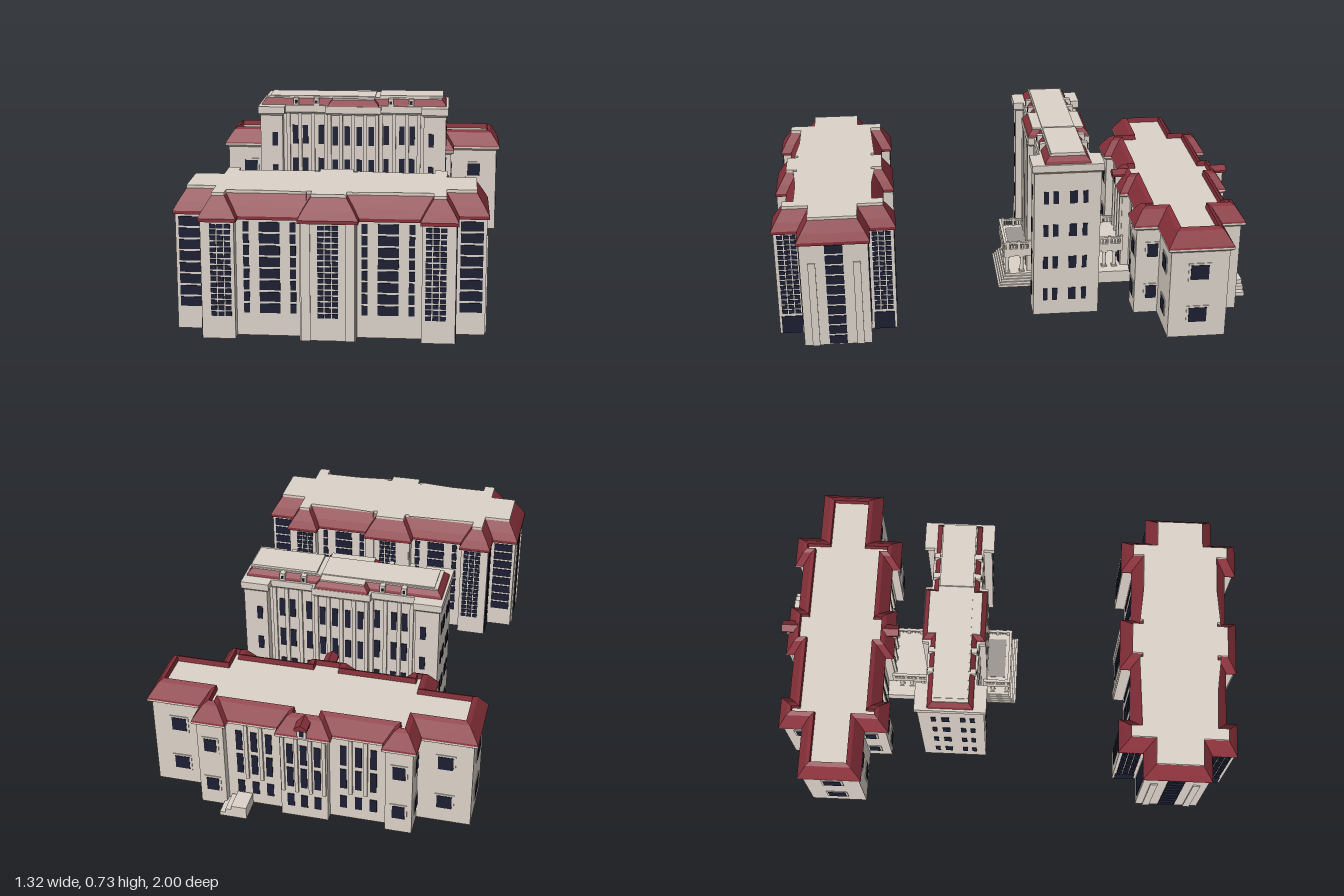
import * as THREE from 'three';
import { mergeGeometries } from 'three/addons/utils/BufferGeometryUtils.js';

const mat = (color) => new THREE.MeshStandardMaterial({ color, flatShading: true });
const stone = mat(0xdcd3c9), red = mat(0x88303a), glass = mat(0x1c1f33), lead = mat(0x9b9690);

// full stepped outline from the points of its +x +z quarter
function outline(q) {
  const rev = [...q].reverse();
  return [...q, ...rev.map(([x, z]) => [-x, z]), ...q.map(([x, z]) => [-x, -z]), ...rev.map(([x, z]) => [x, -z])];
}

// move every edge of a right-angled outline inwards by d
function inset(poly, d) {
  const n = poly.length;
  const normal = (i) => {
    const a = poly[i], b = poly[(i + 1) % n];
    return [Math.sign(b[1] - a[1]), -Math.sign(b[0] - a[0])];
  };
  return poly.map(([x, z], i) => {
    const u = normal((i + n - 1) % n), v = normal(i);
    return [x - d * (u[0] + v[0]), z - d * (u[1] + v[1])];
  });
}

// solid through rings of [inset, height], closed at both ends
function loft(poly, rings) {
  const pos = [], n = poly.length;
  const loops = rings.map(([d, y]) => inset(poly, d).map(([x, z]) => [x, y, z]));
  for (let k = 0; k + 1 < loops.length; k++) {
    for (let i = 0; i < n; i++) {
      const j = (i + 1) % n, a = loops[k], b = loops[k + 1];
      pos.push(...a[i], ...b[i], ...a[j], ...a[j], ...b[i], ...b[j]);
    }
  }
  const cap = (loop, up) => {
    const tris = THREE.ShapeUtils.triangulateShape(loop.map((p) => new THREE.Vector2(p[0], p[2])), []);
    for (const [a, b, c] of tris) pos.push(...loop[a], ...loop[up ? c : b], ...loop[up ? b : c]);
  };
  cap(loops[0], false);
  cap(loops[loops.length - 1], true);
  const g = new THREE.BufferGeometry();
  g.setAttribute('position', new THREE.Float32BufferAttribute(pos, 3));
  g.computeVertexNormals();
  return g;
}

function box(x, y, z, w, h, d) {
  return new THREE.BoxGeometry(w, h, d).translate(x, y + h / 2, z);
}

function add(group, name, geo, material) {
  const mesh = new THREE.Mesh(Array.isArray(geo) ? mergeGeometries(geo) : geo, material);
  mesh.name = name;
  group.add(mesh);
}

function makeGroup(name, x, z) {
  const g = new THREE.Group();
  g.name = name;
  g.position.set(x, 0, z);
  return g;
}

// panel on a wall, repeated on the mirrored sides; face 'z' looks along z, 'x' along x
function panel(list, face, plane, u, y, w, h, t = 0.006) {
  for (const s of [1, -1]) {
    for (const m of u === 0 ? [1] : [1, -1]) {
      list.push(face === 'z' ? box(m * u, y, s * plane, w, h, t) : box(s * plane, y, m * u, t, h, w));
    }
  }
}

// window with a stone surround
function framed(panes, frames, face, plane, u, y, w, h) {
  panel(panes, face, plane, u, y, w, h, 0.01);
  panel(frames, face, plane, u, y - 0.008, w + 0.018, h + 0.016, 0.006);
}

function frontBlock() {
  const g = makeGroup('frontBlock', -0.025, 0.75);
  const poly = outline([[0.595, 0.145], [0.482, 0.145], [0.482, 0.25], [0.34, 0.25], [0.34, 0.205], [0.113, 0.205], [0.113, 0.25]]);
  add(g, 'walls', loft(poly, [[0.008, 0], [0.008, 0.455]]), stone);
  add(g, 'mansardRoof', loft(poly, [[0, 0.455], [0, 0.468], [0.018, 0.5], [0.05, 0.55], [0.055, 0.505]]), red);

  // flat roof ring around a sunken court
  const toVec = (p) => p.map(([x, z]) => new THREE.Vector2(x, z));
  const ring = new THREE.Shape(toVec(inset(poly, 0.047)));
  ring.holes.push(new THREE.Path(toVec(outline([[0.365, 0.145], [0.085, 0.145], [0.085, 0.172]]))));
  const deck = new THREE.ExtrudeGeometry(ring, { depth: 0.05, bevelEnabled: false }).rotateX(Math.PI / 2).translate(0, 0.557, 0);
  add(g, 'roofDeck', deck, stone);
  add(g, 'courtFloor', box(0, 0.5, 0, 0.75, 0.008, 0.31), stone);

  const panes = [], ribs = [];
  const column = (face, plane, u, w, y0 = 0.09, rows = 8) => {
    for (let r = 0; r < rows; r++) panel(panes, face, plane, u, y0 + r * 0.0455, w, 0.037);
  };
  const grid = (face, plane, u) => {
    for (let r = 0; r < 16; r++) {
      for (const c of [-1, 0, 1]) {
        if (u === 0 && c < 0) continue;
        panel(panes, face, plane, u + c * 0.027, 0.09 + r * 0.0227, 0.023, 0.017);
      }
    }
  };
  column('z', 0.137, 0.532, 0.085);
  column('z', 0.197, 0.31, 0.022);
  column('z', 0.197, 0.222, 0.078);
  column('z', 0.197, 0.134, 0.022);
  grid('z', 0.242, 0.4);
  grid('z', 0.242, 0);
  column('x', 0.587, 0, 0.072, 0.005, 10);
  grid('x', 0.474, 0.19);
  // ground-floor openings on the ends
  panel(panes, 'x', 0.474, 0.19, 0, 0.085, 0.078);
  // court windows
  for (let i = 0; i < 5; i++) panel(panes, 'z', 0.145, 0.12 + i * 0.054, 0.516, 0.04, 0.028);
  for (const u of [0, 0.05, 0.1]) panel(panes, 'x', 0.365, u, 0.516, 0.036, 0.028);
  panel(ribs, 'z', 0.242, 0.083, 0, 0.035, 0.455, 0.01);
  panel(ribs, 'x', 0.587, 0.09, 0, 0.03, 0.375, 0.012);
  add(g, 'windows', panes, glass);
  add(g, 'pilasters', ribs, stone);
  return g;
}

function tower() {
  const g = makeGroup('tower', -0.008, -0.205);
  const poly = outline([[0.41, 0.138], [0.312, 0.138], [0.312, 0.095], [0.113, 0.095], [0.113, 0.122]]);
  add(g, 'walls', loft(poly, [[0, 0], [0, 0.655]]), stone);
  add(g, 'cornice', loft(poly, [[0, 0.65], [-0.01, 0.66], [-0.01, 0.69]]), stone);
  const top = outline([[0.41, 0.095], [0.113, 0.095], [0.113, 0.13]]);
  add(g, 'roof', loft(top, [[0, 0.69], [0.004, 0.7], [0.022, 0.72]]), red);
  add(g, 'roofDeck', [loft(inset(top, 0.02), [[0, 0.715], [0, 0.724]]),
    box(0.255, 0.72, 0, 0.28, 0.013, 0.14), box(-0.14, 0.72, 0, 0.47, 0.008, 0.14)].map((q) => {
    const r = q.index ? q.toNonIndexed() : q;
    r.deleteAttribute('uv');
    return r;
  }), stone);

  const panes = [], ribs = [], dormers = [], vents = [];
  for (let r = 0; r < 4; r++) {
    const y = 0.068 + r * 0.149;
    panel(panes, 'z', 0.138, 0.345, y, 0.024, 0.06);
    for (const u of [0.26, 0.215, 0.145]) panel(panes, 'z', 0.095, u, y, 0.024, 0.085);
    for (const u of [0.08, 0.027]) panel(panes, 'z', 0.122, u, y, 0.024, 0.085);
    for (const [z, w] of [[0.088, 0.02], [0.048, 0.022], [-0.025, 0.032], [-0.075, 0.02]]) {
      for (const s of [1, -1]) panes.push(box(s * 0.41, y, z, 0.006, 0.055, w));
    }
  }
  for (const u of [0.29, 0.238, 0.18, 0.122]) panel(ribs, 'z', 0.095, u, 0.04, 0.016, 0.615, 0.022);
  for (const u of [0.105, 0.054, 0]) panel(ribs, 'z', 0.122, u, 0.04, 0.016, 0.615, 0.02);
  for (const u of [0.165, 0.255]) {
    panel(dormers, 'z', 0.088, u, 0.69, 0.022, 0.033, 0.024);
    panel(vents, 'z', 0.1, u, 0.698, 0.01, 0.014, 0.004);
  }
  add(g, 'windows', [...panes, ...vents], glass);
  add(g, 'pilasters', ribs, stone);
  add(g, 'dormers', dormers, stone);
  return g;
}

// open colonnade: slab on columns with a balustrade along its edges
function colonnade(g, x, z0, z1, columnRows) {
  const parts = [], posts = [], d = z1 - z0, zc = (z0 + z1) / 2;
  parts.push(box(0, 0.135, zc, 2 * x, 0.035, d));
  for (const s of [1, -1]) parts.push(box(s * (x - 0.006), 0.193, zc, 0.012, 0.008, d));
  for (const z of columnRows) {
    for (const u of [-1, -0.36, 0.36, 1]) {
      if (z !== columnRows[0] && Math.abs(u) < 1) continue;
      const cx = u * (x - 0.015);
      posts.push(new THREE.CylinderGeometry(0.007, 0.009, 0.085, 12).translate(cx, 0.097, z));
      parts.push(box(cx, 0.127, z, 0.024, 0.01, 0.024), box(cx, 0.053, z, 0.024, 0.008, 0.024));
    }
  }
  const count = Math.round(d / 0.014);
  for (let i = 0; i <= count; i++) {
    const big = i % 4 === 0;
    for (const s of [1, -1]) parts.push(box(s * (x - 0.006), 0.168, z0 + 0.006 + (d - 0.012) * i / count, big ? 0.012 : 0.005, big ? 0.038 : 0.027, big ? 0.012 : 0.005));
  }
  add(g, 'slabAndBalustrade', parts, stone);
  add(g, 'columns', posts, stone);
}

function porch() {
  const g = makeGroup('porch', -0.008, 0);
  const steps = [];
  for (let i = 0; i < 5; i++) {
    const front = 0.058 - i * 0.008;
    steps.push(box(0, i * 0.011, (front - 0.09) / 2, 0.316 - i * 0.012, 0.011, front + 0.09));
  }
  add(g, 'steps', steps, stone);
  colonnade(g, 0.125, -0.09, 0.03, [0.015, -0.05]);
  const rail = [box(0, 0.193, 0.024, 0.25, 0.008, 0.012)];
  for (let i = 0; i < 17; i++) rail.push(box(-0.112 + i * 0.014, 0.168, 0.024, 0.005, 0.027, 0.005));
  add(g, 'frontBalustrade', rail, stone);
  add(g, 'terrace', box(0, 0.168, -0.04, 0.18, 0.005, 0.09), lead);
  add(g, 'door', box(0, 0.055, -0.083, 0.09, 0.07, 0.006), glass);
  return g;
}

function gallery() {
  const g = makeGroup('gallery', -0.008, 0);
  add(g, 'base', box(0, 0, -0.43, 0.316, 0.055, 0.2), stone);
  colonnade(g, 0.115, -0.5, -0.325, [-0.37, -0.42, -0.465]);
  return g;
}

function rearBlock() {
  const g = makeGroup('rearBlock', -0.003, -0.713);
  const poly = outline([[0.662, 0.135], [0.445, 0.135], [0.445, 0.235], [0.308, 0.235], [0.308, 0.2], [0.11, 0.2], [0.11, 0.235]]);
  add(g, 'walls', loft(poly, [[0.015, 0], [0.015, 0.4]]), stone);
  add(g, 'eaves', loft(poly, [[0.012, 0.39], [0, 0.4], [0, 0.408]]), stone);
  add(g, 'mansardRoof', loft(poly, [[0, 0.408], [0.002, 0.415], [0.04, 0.472], [0.058, 0.482], [0.061, 0.452]]), red);
  add(g, 'roofDeck', loft(inset(poly, 0.06), [[0, 0.45], [0, 0.458]]), stone);

  const panes = [], frames = [], ribs = [], dormers = [];
  for (const y of [0.07, 0.265]) {
    framed(panes, frames, 'x', 0.647, 0, y, 0.075, 0.065);
    framed(panes, frames, 'x', 0.43, 0.15, y, 0.045, 0.06);
    framed(panes, frames, 'z', 0.22, 0.377, y, 0.05, 0.06);
    framed(panes, frames, 'z', 0.12, 0.54, y, 0.06, 0.06);
  }
  // bays of tall windows over small ones
  for (const [plane, us] of [[0.185, [0.15, 0.21, 0.27]], [0.22, [0, 0.055]]]) {
    for (const u of us) {
      panel(panes, 'z', plane, u, 0.05, 0.028, 0.06);
      panel(panes, 'z', plane, u, 0.15, 0.026, 0.095);
      panel(panes, 'z', plane, u, 0.265, 0.026, 0.095);
    }
  }
  for (const u of [0.18, 0.24]) panel(ribs, 'z', 0.185, u, 0.13, 0.014, 0.265, 0.022);
  for (const u of [0.028, 0.083]) panel(ribs, 'z', 0.22, u, 0.13, 0.014, 0.265, 0.022);
  // small gabled dormers at the middle of both long sides
  const gable = new THREE.Shape([[-0.026, 0], [0.026, 0], [0.026, 0.01], [0, 0.028], [-0.026, 0.01]].map((p) => new THREE.Vector2(...p)));
  for (const z of [0.185, -0.254]) {
    dormers.push(new THREE.ExtrudeGeometry(gable, { depth: 0.069, bevelEnabled: false }).translate(0, 0.454, z));
  }
  const dormerWalls = [];
  panel(dormerWalls, 'z', 0.215, 0, 0.41, 0.036, 0.045, 0.05);
  panel(panes, 'z', 0.24, 0, 0.42, 0.018, 0.026, 0.004);
  add(g, 'windows', panes, glass);
  add(g, 'windowFrames', frames, stone);
  add(g, 'pilasters', ribs, stone);
  add(g, 'dormerRoofs', dormers, red);
  add(g, 'dormerWalls', dormerWalls, stone);
  // back entrance steps
  const steps = [0, 1, 2].map((i) => box(0.278 - i * 0.012, i * 0.018, -0.24, 0.11 - i * 0.024, 0.018, 0.094));
  add(g, 'backSteps', steps, stone);
  return g;
}

export function createModel() {
  const model = new THREE.Group();
  model.name = 'buildingComplex';
  model.add(frontBlock(), tower(), porch(), gallery(), rearBlock());
  return model;
}
